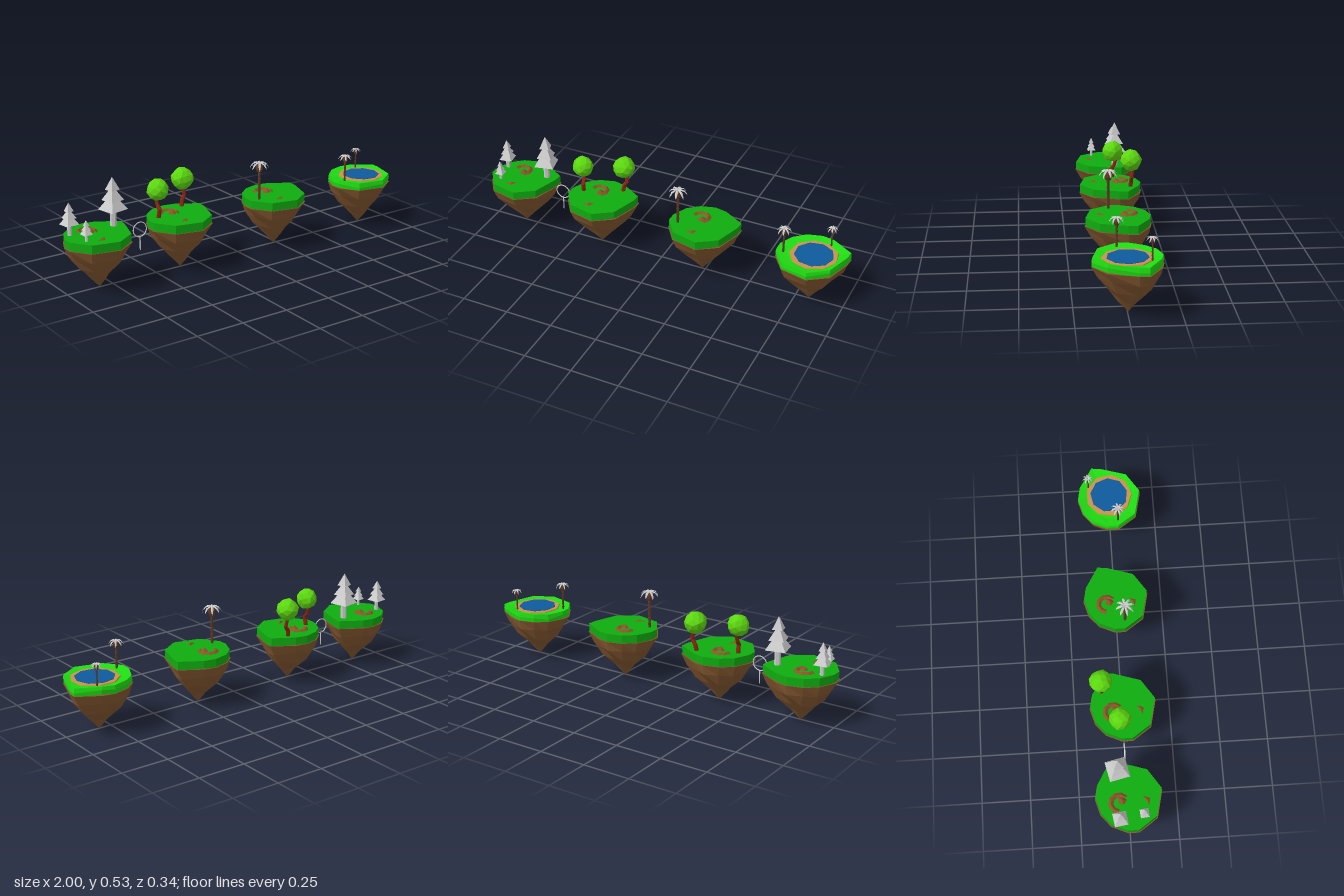
import * as THREE from 'three';

const mat = (color, side = THREE.FrontSide) =>
  new THREE.MeshStandardMaterial({ color, flatShading: true, side });
const M = {
  rock: mat(0x855830), grass: mat(0x10ac10), lightGrass: mat(0x1fdd12), dirt: mat(0x8a5528),
  sand: mat(0xc8924a), water: mat(0x0f5a9c), leaf: mat(0x5cd810), redTrunk: mat(0x8c2410),
  palmTrunk: mat(0x633a26), grey: mat(0xcccccc), frond: mat(0xcccccc, THREE.DoubleSide),
};

// Island outline, x and z around its centre
const OUTLINE = [[0, -0.168], [0.065, -0.155], [0.178, -0.088], [0.174, -0.04], [0.13, 0.1], [0.03, 0.167],
  [-0.11, 0.135], [-0.176, 0.04], [-0.176, -0.015], [-0.14, -0.095], [-0.08, -0.145]];

function add(parent, name, geometry, material, x = 0, y = 0, z = 0) {
  const mesh = new THREE.Mesh(geometry, material);
  mesh.name = name;
  mesh.position.set(x, y, z);
  parent.add(mesh);
  return mesh;
}

function group(parent, name, x = 0, y = 0, z = 0) {
  const g = new THREE.Group();
  g.name = name;
  g.position.set(x, y, z);
  parent.add(g);
  return g;
}

// Skin joining scaled copies of the outline: levels are [scale, y, z shift, wobble in scale, wobble in y]
function skin(levels) {
  const rings = levels.map(([s, y, dz = 0, ws = 0, wy = 0]) => OUTLINE.map(([x, z], i) => {
    const k = s + ws * Math.sin(i * 2.3 + y * 40);
    return [x * k, y + wy * Math.sin(i * 1.9), z * k + dz];
  }));
  const pos = [];
  for (let r = 0; r < rings.length - 1; r++) {
    for (let i = 0; i < OUTLINE.length; i++) {
      const j = (i + 1) % OUTLINE.length;
      const [a, b, c, d] = [rings[r][i], rings[r][j], rings[r + 1][j], rings[r + 1][i]];
      if (levels[r + 1][0] > 0) pos.push(...a, ...d, ...c);
      if (levels[r][0] > 0) pos.push(...a, ...c, ...b);
    }
  }
  const g = new THREE.BufferGeometry();
  g.setAttribute('position', new THREE.Float32BufferAttribute(pos, 3));
  g.computeVertexNormals();
  return g;
}

function island(root, name, x, pond) {
  const g = group(root, name, x);
  add(g, 'rock', skin([[0, 0, -0.004], [0.27, 0.058, -0.003, 0.03, 0.004], [0.61, 0.118, -0.01, 0.04, 0.006],
    [0.87, 0.182, -0.006, 0.03, 0.005], [1.01, 0.235], [0, 0.236]]), M.rock);
  if (pond) {
    // Grass rim dips towards a sandy pond
    add(g, 'grassRim', skin([[0.7, 0.234], [0.98, 0.234, 0, 0, 0.006], [1.0, 0.256, 0, 0, 0.008],
      [0.98, 0.277, 0, 0, 0.002], [0.72, 0.268], [0, 0.262]]), M.lightGrass);
    add(g, 'sand', new THREE.CylinderGeometry(0.122, 0.13, 0.016, 9), M.sand, 0.012, 0.265);
    add(g, 'water', new THREE.CylinderGeometry(0.1, 0.1, 0.016, 9), M.water, 0.012, 0.267).rotation.y = 0.2;
  } else {
    add(g, 'grass', skin([[0.8, 0.234], [0.98, 0.234, 0, 0, 0.004], [0.985, 0.279], [0, 0.279]]), M.grass);
    dirtPatches(g);
  }
  return g;
}

// Bare earth: a curved ridge, a small mound and a long wedge
function dirtPatches(g) {
  const ridge = add(g, 'dirtRidge', new THREE.TorusGeometry(0.042, 0.013, 4, 6, 4.0), M.dirt, -0.035, 0.279, -0.05);
  ridge.rotation.set(-Math.PI / 2, 0, -0.9);
  ridge.scale.z = 0.8;
  add(g, 'dirtMound', new THREE.ConeGeometry(0.024, 0.02, 5), M.dirt, -0.022, 0.288, -0.035);
  const wedge = add(g, 'dirtWedge', new THREE.ConeGeometry(0.038, 0.012, 3), M.dirt, -0.025, 0.283, 0.09);
  wedge.rotation.y = 0.5;
  wedge.scale.z = 0.5;
}

// Conifer with stacked square tiers
function conifer(g, x, z, h, turn) {
  const t = group(g, 'conifer', x, 0.278, z);
  add(t, 'trunk', new THREE.CylinderGeometry(0.06 * h, 0.066 * h, 0.5 * h, 6), M.grey, 0, 0.25 * h);
  [[0.34, 0.29, 0.34], [0.53, 0.22, 0.29], [0.74, 0.145, 0.26]].forEach(([y, r, th]) => {
    const cone = add(t, 'foliageTier', new THREE.ConeGeometry(r * h, th * h, 4), M.grey, 0, (y + th / 2) * h);
    cone.rotation.y = Math.PI / 4 + turn;
  });
}

// Round tree with a bent trunk and a faceted crown
function roundTree(g, path, crown, r, turn) {
  const t = group(g, 'roundTree');
  const pts = path.map(p => new THREE.Vector3(...p));
  for (let i = 0; i < pts.length - 1; i++) {
    const dir = pts[i + 1].clone().sub(pts[i]);
    const seg = add(t, 'trunk', new THREE.CylinderGeometry(0.0105 - 0.001 * i, 0.0115 - 0.001 * i, dir.length() + 0.004, 6), M.redTrunk);
    seg.position.copy(pts[i]).addScaledVector(dir, 0.5);
    seg.quaternion.setFromUnitVectors(new THREE.Vector3(0, 1, 0), dir.normalize());
  }
  const geo = new THREE.IcosahedronGeometry(r, 1);
  const p = geo.attributes.position;
  const v = new THREE.Vector3();
  for (let i = 0; i < p.count; i++) {
    v.fromBufferAttribute(p, i);
    v.multiplyScalar(1 + 0.06 * Math.sin(v.x * 70 + 1) * Math.cos(v.z * 60 + v.y * 40));
    p.setXYZ(i, v.x, v.y, v.z);
  }
  geo.computeVertexNormals();
  add(t, 'crown', geo, M.leaf, ...crown).rotation.set(turn, turn * 2, 0);
}

// Drooping pointed frond running along +x
function frondGeometry(L) {
  const rows = [[0, 0, 0.04], [0.35, 0.16, 0.13], [0.7, 0.04, 0.13], [0.92, -0.25, 0.08], [1, -0.5, 0]];
  const pos = [];
  for (let i = 0; i < rows.length - 1; i++) {
    const [a, b] = [rows[i], rows[i + 1]];
    for (const s of [-1, 1]) {
      const edge = ([x, y, w]) => [x * L, (y - w * 0.6) * L, s * w * L];
      const mid = ([x, y]) => [x * L, y * L, 0];
      const quad = [mid(a), edge(a), edge(b), mid(a), edge(b), mid(b)];
      pos.push(...(s > 0 ? quad : quad.reverse()).flat());
    }
  }
  const g = new THREE.BufferGeometry();
  g.setAttribute('position', new THREE.Float32BufferAttribute(pos, 3));
  g.computeVertexNormals();
  return g;
}

function palm(g, x, z, base, top, L) {
  const t = group(g, 'palm', x, base, z);
  const h = top - base, r = L * 0.15, n = 6;
  for (let i = 0; i < n; i++) {
    const sh = (h * 0.85) / n;
    add(t, 'trunkSegment', new THREE.CylinderGeometry(r * 1.1, r * 0.8, sh, 7), M.palmTrunk, 0, sh * (i + 0.5));
  }
  // Bulging head below the fronds
  const head = [[0, -0.5], [0.25, -0.48], [0.38, -0.15], [0.38, 0.2], [0.2, 0.42], [0, 0.45]];
  add(t, 'head', new THREE.LatheGeometry(head.map(([a, b]) => new THREE.Vector2(a * L, b * L)), 8), M.palmTrunk, 0, h - L * 0.62);
  for (let i = 0; i < 8; i++) {
    const f = add(t, 'frond', frondGeometry(L), M.frond, 0, h - L * 0.18);
    f.rotation.y = (i / 8) * Math.PI * 2 + 0.2;
    f.scale.y = 1 + 0.2 * (i % 2);
  }
}

export function createModel() {
  const root = new THREE.Group();
  root.name = 'floatingIslands';

  const pines = island(root, 'coniferIsland', -0.822, false);
  conifer(pines, 0.115, -0.05, 0.25, 0.22);
  conifer(pines, -0.126, -0.05, 0.167, 0.15);
  conifer(pines, -0.1, 0.07, 0.108, 0.1);

  const woods = island(root, 'roundTreeIsland', -0.355, false);
  roundTree(woods, [[-0.112, 0.275, -0.02], [-0.11, 0.322, -0.012], [-0.112, 0.345, -0.03], [-0.112, 0.39, -0.042]],
    [-0.112, 0.425, -0.022], 0.056, 0.4);
  roundTree(woods, [[0.078, 0.275, -0.104], [0.084, 0.31, -0.108], [0.1, 0.335, -0.11], [0.092, 0.39, -0.118]],
    [0.085, 0.425, -0.106], 0.058, 1.1);

  const lone = island(root, 'palmIsland', 0.232, false);
  palm(lone, -0.124, 0.04, 0.275, 0.482, 0.05);

  const pond = island(root, 'pondIsland', 0.818, true);
  palm(pond, -0.136, 0.04, 0.265, 0.418, 0.038);
  palm(pond, 0.064, -0.108, 0.265, 0.385, 0.029);

  // Thin hoop on a stick between the first two islands
  const hoop = group(root, 'hoop', -0.585, 0.245, -0.006);
  add(hoop, 'hoopRing', new THREE.TorusGeometry(0.038, 0.003, 6, 20), M.grey);
  add(hoop, 'hoopStick', new THREE.CylinderGeometry(0.003, 0.003, 0.07, 6), M.grey, 0, -0.073);
  return root;
}
